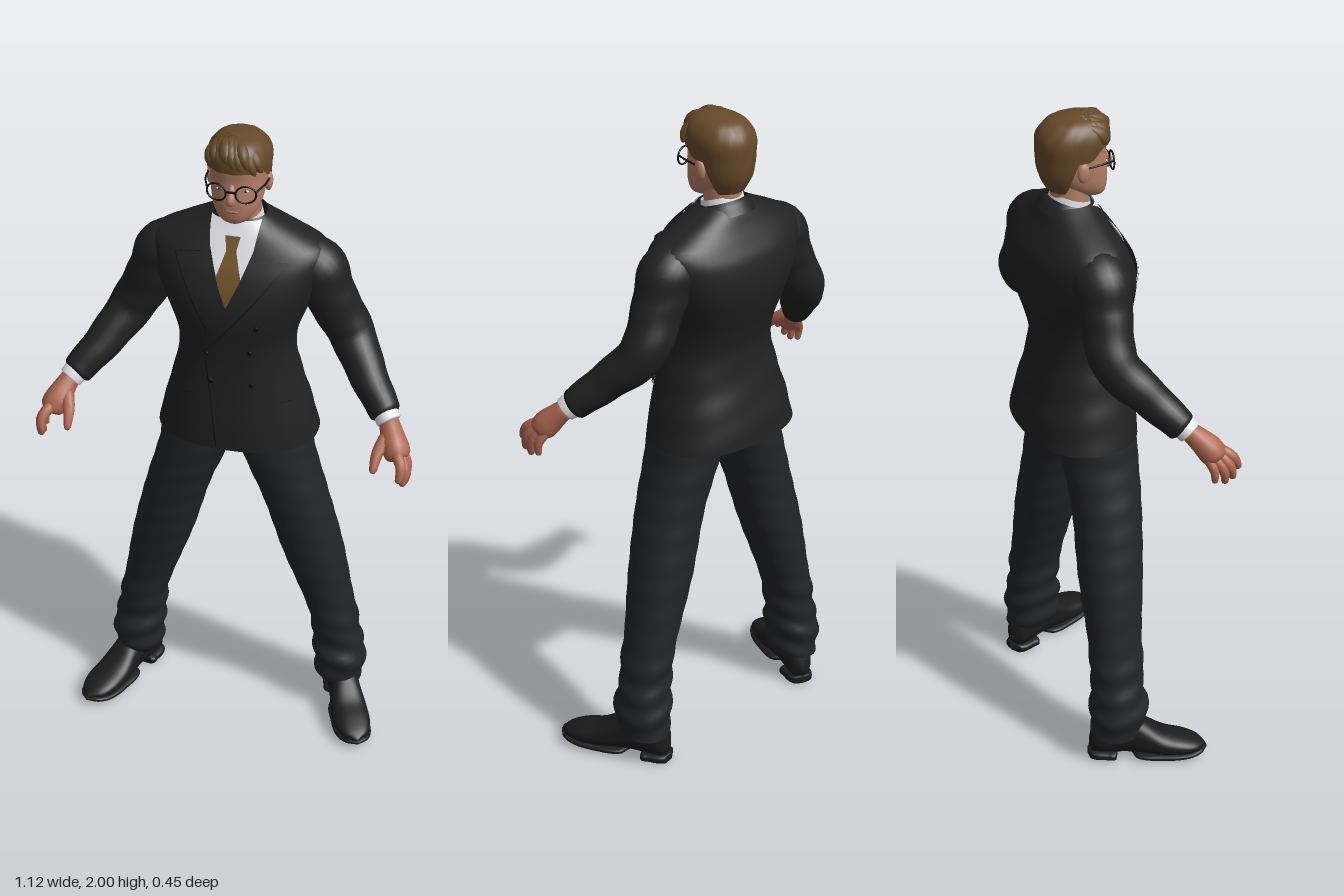
import * as THREE from 'three';
import { mergeVertices } from 'three/addons/utils/BufferGeometryUtils.js';

const mat = (name, color) => new THREE.MeshStandardMaterial({ name, color, side: THREE.DoubleSide });
const M = {
  jacket: mat('jacket cloth', 0x212122), trousers: mat('trouser cloth', 0x232427),
  shoe: mat('shoe leather', 0x1b1b1c), face: mat('face skin', 0xb57f69),
  hand: mat('hand skin', 0xac6650), hair: mat('brown hair', 0x66492a),
  tie: mat('tie silk', 0x6e5028), shirt: mat('white shirt', 0xe4e4ea),
  black: mat('black trim', 0x0f0f10), lips: mat('lips', 0xa0655a),
};
const V = (x, y, z) => new THREE.Vector3(x, y, z);
const smooth = THREE.MathUtils.smoothstep;

function add(parent, name, geo, material, x = 0, y = 0, z = 0) {
  const m = new THREE.Mesh(geo, material);
  m.name = name;
  m.position.set(x, y, z);
  parent.add(m);
  return m;
}

// Smooth interpolation of table rows keyed by their first column
function at(rows, y) {
  let i = 0;
  while (i < rows.length - 2 && y > rows[i + 1][0]) i++;
  const a = rows[i], b = rows[i + 1], p = rows[i - 1] || a, q = rows[i + 2] || b;
  const h = b[0] - a[0], t = THREE.MathUtils.clamp((y - a[0]) / h, 0, 1), t2 = t * t, t3 = t2 * t;
  return a.map((v, k) => (2 * t3 - 3 * t2 + 1) * v + (3 * t2 - 2 * t3) * b[k]
    + (t3 - 2 * t2 + t) * h * (b[k] - p[k]) / (b[0] - p[0])
    + (t3 - t2) * h * (q[k] - v) / (q[0] - a[0]));
}

// Surface from a rule fn(u, v) with u and v in 0..1
function grid(fn, nu, nv) {
  const pos = [], idx = [];
  for (let j = 0; j <= nv; j++) for (let i = 0; i <= nu; i++) pos.push(...fn(i / nu, j / nv).toArray());
  for (let j = 0; j < nv; j++) for (let i = 0; i < nu; i++) {
    const a = j * (nu + 1) + i, c = a + nu + 1;
    idx.push(a, c, a + 1, a + 1, c, c + 1);
  }
  let g = new THREE.BufferGeometry();
  g.setAttribute('position', new THREE.Float32BufferAttribute(pos, 3));
  g.setIndex(idx);
  g = mergeVertices(g, 1e-5);
  g.computeVertexNormals();
  return g;
}

// Stacked rounded sections; rows are [y, half width, front z, back z, centre x]
const pw = (c, n) => Math.sign(c) * Math.abs(c) ** (2 / n);
function loft(rows, n = 2, nv = 40, low = null, fold = () => 1) {
  const y0 = rows[0][0], y1 = rows[rows.length - 1][0];
  return grid((u, v) => {
    const a = u * Math.PI * 2, c = Math.cos(a), s = Math.sin(a), b = low ? low(s) : y0;
    const y = b + (y1 - b) * (low ? Math.sin(v * Math.PI / 2) : v);
    const [, w, f, k, cx = 0] = at(rows, y), r = fold(a, y);
    return V(cx + Math.max(w, 0) * r * pw(c, n), y, (f + k) / 2 + (f - k) / 2 * r * pw(s, n));
  }, 48, nv);
}
const frontZ = (rows, n, x, y) => {
  const [, w, f, k] = at(rows, y);
  return (f + k) / 2 + (f - k) / 2 * Math.max(0, 1 - Math.abs(x / w) ** n) ** (1 / n);
};

// Round limb along points [x, y, z, radius] with rounded ends
function limb(pts, { cap = 0.1, nu = 14, nv = 20, fold = 0 } = {}) {
  const curve = new THREE.CatmullRomCurve3(pts.map(p => V(p[0], p[1], p[2])));
  const radii = pts.map((p, i) => [i, p[3]]);
  return grid((u, v) => {
    v = 0.5 - 0.5 * Math.cos(v * Math.PI);
    const a = u * Math.PI * 2, T = curve.getTangent(v);
    const side = T.clone().cross(V(0, 0, 1)).normalize(), up = side.clone().cross(T);
    const e = Math.min(1, Math.min(v, 1 - v) / cap);
    const r = at(radii, v * (pts.length - 1))[1] * Math.sqrt(1 - (1 - e) ** 2)
      * (1 + fold * Math.sin(v * 38 + 2 * Math.cos(a)));
    return curve.getPoint(v).addScaledVector(side, r * Math.cos(a)).addScaledVector(up, r * Math.sin(a));
  }, nu, nv);
}

const TORSO = [
  [1.02, .24, .112, -.22], [1.1, .222, .11, -.208], [1.2, .195, .102, -.182], [1.3, .172, .097, -.168],
  [1.37, .174, .101, -.182], [1.45, .202, .11, -.207], [1.52, .232, .106, -.219], [1.6, .256, .078, -.208],
  [1.65, .25, .048, -.182], [1.685, .19, .027, -.162], [1.72, .115, .006, -.145], [1.74, .078, -.005, -.13]];
const HEAD = [
  [1.742, .018, .03, 0], [1.752, .042, .04, -.04], [1.78, .064, .046, -.09], [1.82, .075, .047, -.13],
  [1.87, .081, .042, -.145], [1.93, .08, .04, -.14], [1.97, .055, .01, -.11], [1.985, .01, -.03, -.06]];
const HAIR = [
  [1.77, .055, 0, -.125], [1.82, .08, .04, -.15], [1.88, .088, .05, -.158], [1.93, .091, .054, -.157],
  [1.965, .076, .045, -.135], [1.985, .05, .02, -.1], [1.996, 0, -.02, -.021]];

// Thin four-cornered plate (TL, TR, BR, BL) laid on the jacket front
function plate(parent, name, material, off, tl, tr, br, bl) {
  const mix = (p, q, t) => [p[0] + (q[0] - p[0]) * t, p[1] + (q[1] - p[1]) * t];
  add(parent, name, grid((u, v) => {
    const [x, y] = mix(mix(tl, tr, u), mix(bl, br, u), v);
    return V(x, y, frontZ(TORSO, 2.5, x, y) + off);
  }, 12, 16), material);
}
const seam = (parent, name, a, b, off = .005) => plate(parent, name, M.black, off,
  [a[0] - .0015, a[1] + .0015], [a[0] + .0015, a[1]], [b[0] + .0015, b[1]], [b[0] - .0015, b[1] - .0015]);

function buildSuit(g) {
  add(g, 'jacket', loft(TORSO, 2.35, 60, null,
    (a, y) => 1 + .006 * Math.sin(y * 60 + 3 * Math.cos(a)) * smooth(1.4 - y, 0, .15) * smooth(-Math.sin(a), -.4, .2)), M.jacket);
  const collar = (name, rows, m) => {
    const geo = loft(rows, 2, 8);
    geo.translate(0, 0, .065).rotateX(.3);
    add(g, name, geo, m, 0, 1.725, -.065);
  };
  collar('jacketCollar', [[-.03, .1, .03, -.15], [.0, .085, .006, -.14], [.012, .076, -.004, -.132]], M.jacket);
  collar('shirtCollar', [[-.03, .07, .01, -.128], [.026, .063, -.008, -.124]], M.shirt);

  // Shirt front and tie in the jacket opening
  plate(g, 'shirtYoke', M.shirt, .004, [-.073, 1.737], [.073, 1.737], [.066, 1.675], [-.066, 1.675]);
  plate(g, 'shirtFront', M.shirt, .004, [-.066, 1.675], [.066, 1.675], [.004, 1.51], [-.004, 1.51]);
  plate(g, 'tieKnot', M.tie, .009, [-.022, 1.7], [.022, 1.7], [.014, 1.662], [-.014, 1.662]);
  plate(g, 'tieBlade', M.tie, .007, [-.014, 1.664], [.014, 1.664], [.036, 1.595], [-.036, 1.595]);
  plate(g, 'tieTip', M.tie, .007, [-.036, 1.595], [.036, 1.595], [.005, 1.512], [-.005, 1.512]);

  // Peaked lapels, the left one crossing over
  for (const s of [1, -1]) {
    const side = s > 0 ? 'left' : 'right';
    plate(g, side + 'LapelCollar', M.jacket, .008, [s * .073, 1.737], [s * .1, 1.722], [s * .125, 1.65], [s * .058, 1.635]);
    seam(g, side + 'LapelNotch', [s * .085, 1.655], [s * .16, 1.642], .01);
    plate(g, side + 'PocketFlap', M.jacket, .005, [s * .095, 1.235], [s * .178, 1.215], [s * .183, 1.185], [s * .1, 1.2]);
    seam(g, side + 'PocketEdge', [s * .1, 1.2], [s * .181, 1.185], .007);
  }
  plate(g, 'rightLapel', M.jacket, .008, [-.165, 1.645], [-.058, 1.64], [.002, 1.505], [-.05, 1.43]);
  plate(g, 'leftLapel', M.jacket, .009, [.058, 1.64], [.165, 1.645], [-.06, 1.36], [-.072, 1.36]);
  seam(g, 'leftLapelEdge', [.165, 1.643], [-.06, 1.362], .011);
  seam(g, 'rightLapelEdge', [-.165, 1.643], [-.055, 1.43], .01);
  seam(g, 'frontEdgeUpper', [-.07, 1.36], [-.05, 1.2]);
  seam(g, 'frontEdgeLower', [-.05, 1.2], [-.03, 1.03]);

  // Double-breasted buttons
  for (const [x, y] of [[.085, 1.45], [.065, 1.36], [-.062, 1.34], [.07, 1.25], [-.05, 1.25]]) {
    const b = add(g, 'button', new THREE.CylinderGeometry(.007, .008, .004, 14), M.black,
      x, y, frontZ(TORSO, 2.5, x, y) + .004);
    b.rotation.x = Math.PI / 2;
  }
}

function buildSide(g) {
  add(g, 'sleeve', limb([[.15, 1.59, -.07, .075], [.218, 1.582, -.068, .084], [.264, 1.488, -.07, .075],
    [.326, 1.372, -.072, .068], [.396, 1.277, .005, .056], [.47, 1.195, .08, .045]],
  { cap: .03, nu: 24, nv: 60, fold: .02 }), M.jacket);
  add(g, 'shirtCuff', limb([[.455, 1.215, .065, .034], [.467, 1.2, .08, .037], [.479, 1.186, .092, .036]]), M.shirt);

  // Hand with curled fingers
  add(g, 'palm', limb([[.468, 1.2, .08, .027], [.487, 1.17, .11, .033], [.506, 1.135, .14, .04],
    [.524, 1.103, .156, .034]], { cap: .15 }), M.hand);
  const fingers = [
    ['thumb', [.478, 1.165, .12, .02], [.459, 1.128, .175, .017], [.454, 1.085, .214, .01]],
    ['indexFinger', [.512, 1.135, .165, .018], [.533, 1.11, .2, .015], [.53, 1.068, .22, .01]],
    ['middleFinger', [.518, 1.128, .155, .018], [.543, 1.09, .185, .015], [.538, 1.044, .198, .01]],
    ['ringFinger', [.522, 1.122, .142, .017], [.545, 1.08, .165, .014], [.54, 1.036, .172, .01]],
    ['littleFinger', [.518, 1.122, .125, .016], [.543, 1.085, .136, .013], [.54, 1.045, .14, .009]]];
  for (const [name, ...pts] of fingers) add(g, name, limb(pts, { nu: 10, nv: 12 }), M.hand);

  // Trouser leg bunching above the shoe
  add(g, 'trouserLeg', loft([
    [.09, .066, .01, -.135, .328], [.13, .076, .028, -.138, .328], [.2, .08, .033, -.14, .326],
    [.26, .076, .022, -.13, .315], [.33, .073, .03, -.133, .307], [.4, .075, .03, -.13, .289],
    [.6, .093, .055, -.135, .235], [.8, .098, .075, -.13, .181], [.95, .107, .085, -.138, .13],
    [1.02, .113, .085, -.14, .112], [1.12, .1, .06, -.15, .1]], 2.2, 80, null,
  (a, y) => 1 + (.008 + .05 * smooth(.42 - y, 0, .2)) * Math.sin(y * 75 + 2.2 * Math.cos(a + .6))), M.trousers);

  // Shoe, lofted from heel to toe and turned outwards
  const shoe = new THREE.Group();
  shoe.name = 'shoe';
  shoe.position.set(.342, 0, -.03);
  shoe.rotation.y = .41;
  g.add(shoe);
  const along = (name, rows, n) => add(shoe, name, loft(rows, n, 40).rotateX(Math.PI / 2), M.shoe);
  along('shoeUpper', [[-.118, .004, -.045, -.06], [-.108, .03, -.02, -.11], [-.07, .043, -.018, -.14],
    [0, .046, -.018, -.16], [.05, .05, -.016, -.13], [.11, .057, -.014, -.09], [.17, .055, -.016, -.072],
    [.215, .037, -.022, -.055], [.238, .004, -.03, -.04]], 2.3);
  along('shoeSole', [[.01, .004, -.012, -.022], [.03, .046, -.008, -.026], [.11, .058, -.005, -.028],
    [.18, .056, -.009, -.03], [.225, .036, -.017, -.034], [.243, .003, -.024, -.03]], 3);
  along('shoeHeel', [[-.122, .004, -.006, -.028], [-.112, .034, 0, -.03], [-.06, .046, 0, -.03],
    [-.035, .042, 0, -.03], [-.03, .004, 0, -.03]], 3);
}

function buildHead(g) {
  add(g, 'neck', loft([[1.66, .062, 0, -.125], [1.73, .056, -.01, -.118], [1.82, .056, 0, -.12]], 2, 8), M.face);
  add(g, 'head', loft(HEAD, 2.2, 36), M.face);
  add(g, 'nose', limb([[0, 1.872, .036, .008], [0, 1.85, .049, .01], [0, 1.828, .059, .013], [0, 1.815, .048, .01]],
    { cap: .2 }), M.face);
  add(g, 'mouth', new THREE.SphereGeometry(1, 16, 8), M.lips, 0, 1.788, .044).scale.set(.02, .005, .006);

  // Eyes, ears and round glasses
  for (const s of [1, -1]) {
    const z = frontZ(HEAD, 2.2, .038, 1.855);
    add(g, 'eye', new THREE.SphereGeometry(1, 14, 10), M.shirt, s * .038, 1.852, z - .002).scale.set(.009, .0035, .004);
    add(g, 'pupil', new THREE.SphereGeometry(.0035, 10, 8), M.black, s * .038, 1.852, z + .0005);
    add(g, 'ear', new THREE.SphereGeometry(1, 14, 10), M.face, s * .083, 1.845, -.055).scale.set(.012, .03, .019);
    const rim = add(g, 'glassesRim', new THREE.TorusGeometry(.029, .0028, 8, 28), M.black, s * .042, 1.85, .05);
    rim.rotation.y = s * .2;
    rim.scale.y = .9;
    add(g, 'glassesTemple', limb([[s * .07, 1.86, .045, .0028], [s * .085, 1.862, .0, .0028], [s * .088, 1.858, -.06, .0028]],
      { nu: 8, nv: 10, cap: .02 }), M.black);
  }
  add(g, 'glassesBridge', new THREE.BoxGeometry(.028, .005, .005), M.black, 0, 1.856, .057);

  // Hair, reaching the nape, with a swept fringe
  add(g, 'hair', loft(HAIR, 2.2, 40,
    s => 1.775 + .1 * smooth(s, -.5, -.1) + .035 * smooth(s, .15, .6),
    (a, y) => 1 + .012 * Math.sin(a * 13 + y * 50)), M.hair);
  for (let i = 0; i < 9; i++) {
    const x = -.07 + i * .0165, d = x * x * 5, w = .008 * Math.sin(i * 2.4);
    add(g, 'hairLock', limb([[x * .45 - .01, 1.974, -.07, .01], [x * .75 - .01, 1.979 - d, -.01, .018],
      [x * .95, 1.958 - d + w, .034 - d, .019], [x + .018, 1.912 - d * .4 + w, .044 - d * 1.4, .009]],
    { nv: 16, cap: .15 }), M.hair);
  }
}

export function createModel() {
  const model = new THREE.Group();
  model.name = 'man in suit';
  const suit = new THREE.Group(), head = new THREE.Group(), left = new THREE.Group();
  suit.name = 'suit';
  head.name = 'headGroup';
  left.name = 'leftLimbs';
  buildSuit(suit);
  buildHead(head);
  buildSide(left);
  const right = left.clone();
  right.name = 'rightLimbs';
  right.scale.x = -1;
  model.add(suit, head, left, right);
  return model;
}
